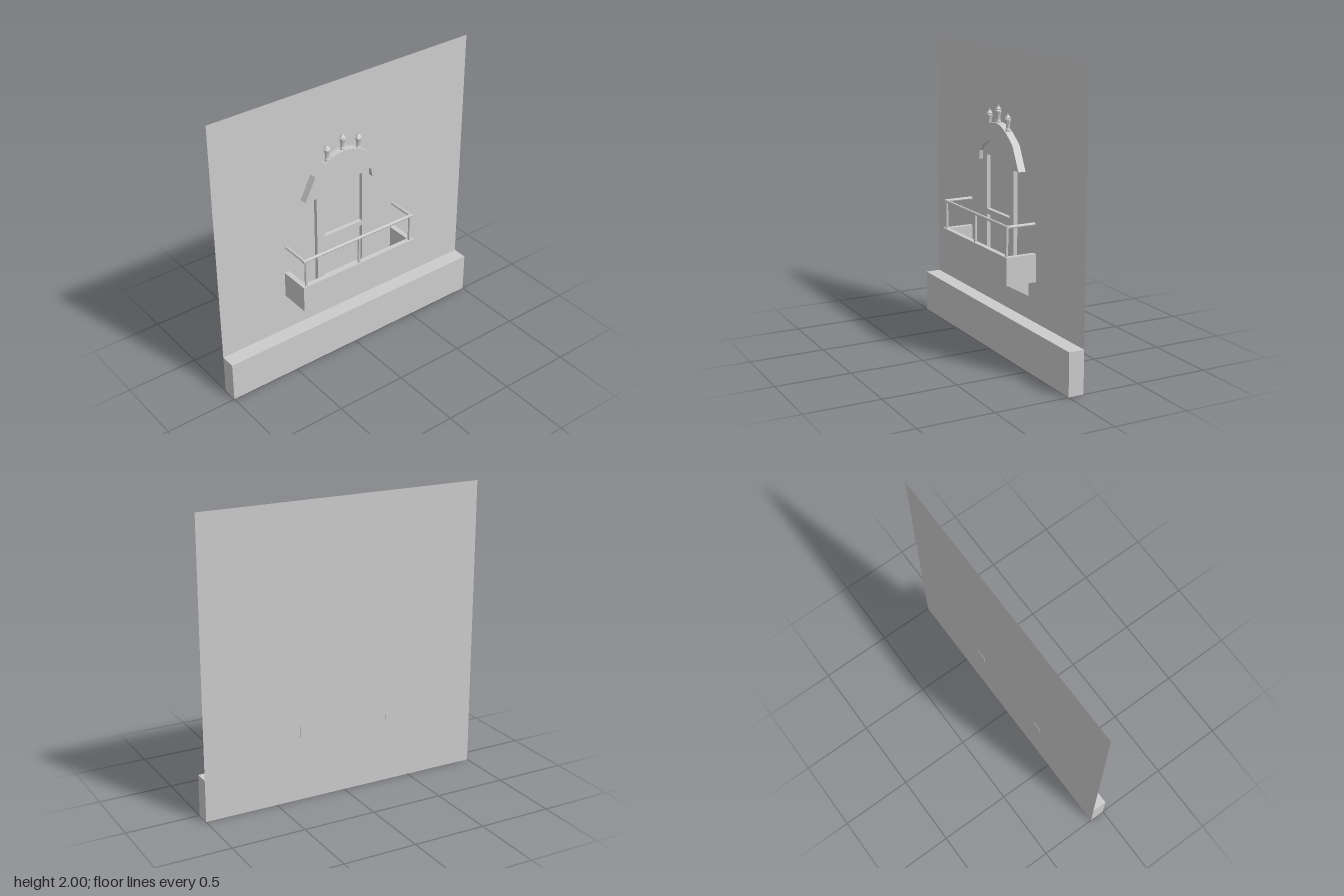
import * as THREE from 'three';

const BACK = -0.105; // wall plane
const CX = -0.04;    // centre line of door and balcony

export function createModel() {
  const model = new THREE.Group();
  const mat = new THREE.MeshStandardMaterial({ color: 0xcccccc, flatShading: true, side: THREE.DoubleSide });

  const add = (name, geometry, x = 0, y = 0, z = 0, parent = model) => {
    const mesh = new THREE.Mesh(geometry, mat);
    mesh.name = name;
    mesh.position.set(x, y, z);
    parent.add(mesh);
    return mesh;
  };
  const group = (name) => {
    const g = new THREE.Group();
    g.name = name;
    model.add(g);
    return g;
  };
  // box from its minimum and maximum corners
  const box = (name, a, b, parent) => add(name,
    new THREE.BoxGeometry(b[0] - a[0], b[1] - a[1], b[2] - a[2]),
    (a[0] + b[0]) / 2, (a[1] + b[1]) / 2, (a[2] + b[2]) / 2, parent);
  // round bar between two points
  const bar = (name, a, b, r, parent) => {
    const p = new THREE.Vector3(...a), d = new THREE.Vector3(...b).sub(p);
    const mesh = add(name, new THREE.CylinderGeometry(r, r, d.length(), 8), 0, 0, 0, parent);
    mesh.position.copy(p).addScaledVector(d, 0.5);
    mesh.quaternion.setFromUnitVectors(new THREE.Vector3(0, 1, 0), d.normalize());
    return mesh;
  };
  const extrude = (shape, depth) => new THREE.ExtrudeGeometry(shape, { depth, bevelEnabled: false });
  // right half of an arch (ending on the axis) to the full arch, right to left
  const arch = (half) => [...half, ...half.slice(0, -1).reverse().map(([x, y]) => [-x, y])]
    .map(([x, y]) => new THREE.Vector2(x, y));

  // wall and plinth
  add('wall', new THREE.PlaneGeometry(2, 2), 0, 1, BACK);
  box('plinth', [-1, 0, BACK], [1, 0.285, 0]);

  // arched door frame with two recessed fields
  const inner = [[0.222, 1.245], [0.212, 1.305], [0.17, 1.345], [0.11, 1.38], [0.055, 1.395], [0, 1.4]];
  const frame = new THREE.Shape([
    new THREE.Vector2(-0.212, 0.565), new THREE.Vector2(0.212, 0.565), ...arch(inner.slice(1)),
  ]);
  for (const [y0, y1] of [[0.59, 0.88], [0.915, 1.285]]) {
    frame.holes.push(new THREE.Path([[-0.155, y0], [-0.155, y1], [0.155, y1], [0.155, y0]]
      .map(([x, y]) => new THREE.Vector2(x, y))));
  }
  add('doorFrame', extrude(frame, 0.028), CX, 0, BACK);

  // curved hood over the door
  const outer = [[0.316, 1.245], [0.235, 1.405], [0.155, 1.467], [0.095, 1.5], [0.045, 1.515], [0, 1.52]];
  const hood = new THREE.Shape([...arch(outer), ...arch(inner).reverse()]);
  add('doorHood', extrude(hood, 0.052), CX, 0, BACK);

  // turned finials on the hood
  const profile = [[0, 0], [0.017, 0], [0.017, 0.012], [0.012, 0.025], [0.014, 0.05], [0.021, 0.075],
    [0.021, 0.083], [0.011, 0.086], [0.02, 0.092], [0.012, 0.103], [0.005, 0.11], [0.006, 0.114], [0, 0.122]]
    .map(([x, y]) => new THREE.Vector2(x, y));
  const finials = group('finials');
  for (const [x, y] of [[-0.162, 1.475], [-0.04, 1.514], [0.087, 1.475]]) {
    add('finial', new THREE.LatheGeometry(profile, 8), x, y, -0.08, finials);
  }

  // balcony tray: floor and parapets, open at the wall
  const balcony = group('balcony');
  const L = -0.497, R = 0.417, F = 0.108, T = 0.035;
  box('balconyFloor', [L, 0.555, BACK], [R, 0.57, F], balcony);
  box('parapetFront', [L, 0.57, F - T], [R, 0.74, F], balcony);
  box('parapetRight', [L, 0.57, BACK], [L + T, 0.74, F - T], balcony);
  box('parapetLeft', [R - T, 0.57, BACK], [R, 0.74, F - T], balcony);

  // railing
  const railing = group('railing');
  const rl = -0.475, rr = 0.395, rz = 0.091, ry = 0.93;
  bar('frontRail', [rl - 0.011, ry, rz], [rr + 0.011, ry, rz], 0.011, railing);
  for (const x of [rl, rr]) bar('sideRail', [x, ry, BACK], [x, ry, rz + 0.008], 0.011, railing);
  for (const x of [-0.465, CX, 0.388]) bar('post', [x, 0.735, rz], [x, ry, rz], 0.01, railing);

  // wedge brackets under the balcony
  const wedge = new THREE.Shape([[0.107, 0.438], [0.107, 0.555], [-0.1, 0.555]]
    .map(([x, y]) => new THREE.Vector2(x, y)));
  for (const x of [-0.35, 0.292]) {
    const g = extrude(wedge, 0.066).translate(0, 0, -0.033).rotateY(Math.PI / 2);
    add('bracket', g, x);
  }
  return model;
}
